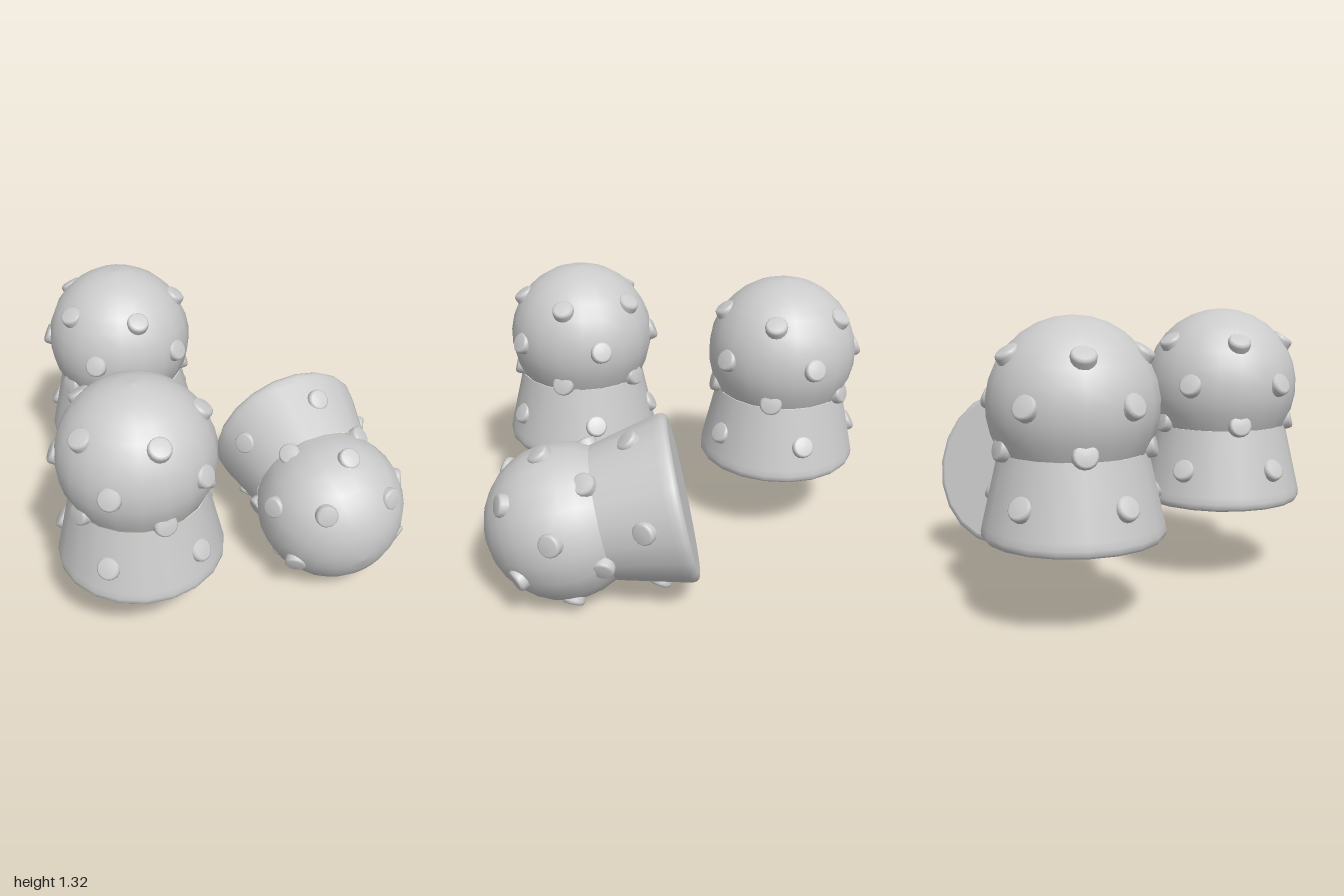
import * as THREE from 'three';

const SIDES = 20;
const material = new THREE.MeshStandardMaterial({ color: 0xcccccc });
const v2 = (x, y) => new THREE.Vector2(x, y);

function part(geometry, name) {
  const mesh = new THREE.Mesh(geometry, material);
  mesh.name = name;
  return mesh;
}

// Small disc with a rounded rim, lying flat along y
const studGeometry = new THREE.LatheGeometry([
  v2(0.055, -0.05), v2(0.055, 0), v2(0.052, 0.011), v2(0.043, 0.018), v2(0, 0.019),
], 16);

// Rows of five studs: height, radius, elevation of the face, turn (degrees)
const studRows = [
  { y: 0.225, r: 0.297, elevation: 57, turn: 36 },
  { y: 0.025, r: 0.371, elevation: 24, turn: -3 },
  { y: -0.165, r: 0.335, elevation: 14, turn: 36 },
  { y: -0.385, r: 0.366, elevation: 31, turn: -8 },
];

// One domed, studded plug, with its origin at the centre of the dome
function createPlug(name) {
  const plug = new THREE.Group();
  plug.name = name;

  // Dome, cut off where it meets the base
  const domePoints = [];
  const start = -Math.asin(0.195 / 0.374);
  for (let i = 0; i <= 10; i++) {
    const a = start + (Math.PI / 2 - start) * i / 10;
    domePoints.push(v2(Math.max(0, 0.372 * Math.cos(a)), 0.374 * Math.sin(a)));
  }
  plug.add(part(new THREE.LatheGeometry(domePoints, SIDES), 'dome'));

  // Flared base with a rounded lower rim
  plug.add(part(new THREE.LatheGeometry([
    v2(0.37, -0.573), v2(0.388, -0.568), v2(0.398, -0.555), v2(0.4, -0.535),
    v2(0.394, -0.505), v2(0.322, -0.195),
  ], SIDES), 'base'));
  const underside = part(new THREE.CircleGeometry(0.37, SIDES), 'underside');
  underside.geometry.rotateX(Math.PI / 2);
  underside.geometry.rotateY(Math.PI / 2);
  plug.add(underside);
  underside.position.y = -0.573;

  // Studs tilted upward so their upper edges sink into the surface
  const up = new THREE.Vector3(0, 1, 0);
  for (const row of studRows) {
    const e = THREE.MathUtils.degToRad(row.elevation);
    for (let i = 0; i < 5; i++) {
      const a = THREE.MathUtils.degToRad(row.turn + i * 72);
      const stud = part(studGeometry, 'stud');
      stud.position.set(row.r * Math.sin(a), row.y, row.r * Math.cos(a));
      stud.quaternion.setFromUnitVectors(up, new THREE.Vector3(
        Math.cos(e) * Math.sin(a), Math.sin(e), Math.cos(e) * Math.cos(a)));
      plug.add(stud);
    }
  }
  return plug;
}

export function createModel() {
  const model = new THREE.Group();
  model.name = 'studdedPlugs';

  // Two upright plugs
  const back = createPlug('backPlug');
  back.position.set(-0.6, 0.957, -0.5);
  const front = createPlug('frontPlug');
  front.position.set(-0.24, 0.957, 0.5);

  // One plug tipped over on its side
  const tipped = createPlug('tippedPlug');
  const y = new THREE.Vector3(0.54, -0.22, 0.81).normalize();
  const x = new THREE.Vector3().crossVectors(y, new THREE.Vector3(0.384, -0.792, -0.475)).normalize();
  const z = new THREE.Vector3().crossVectors(x, y);
  tipped.quaternion.setFromRotationMatrix(new THREE.Matrix4().makeBasis(x, y, z));
  tipped.position.set(0.622, 0.395, 0.005);

  model.add(back, front, tipped);
  return model;
}
